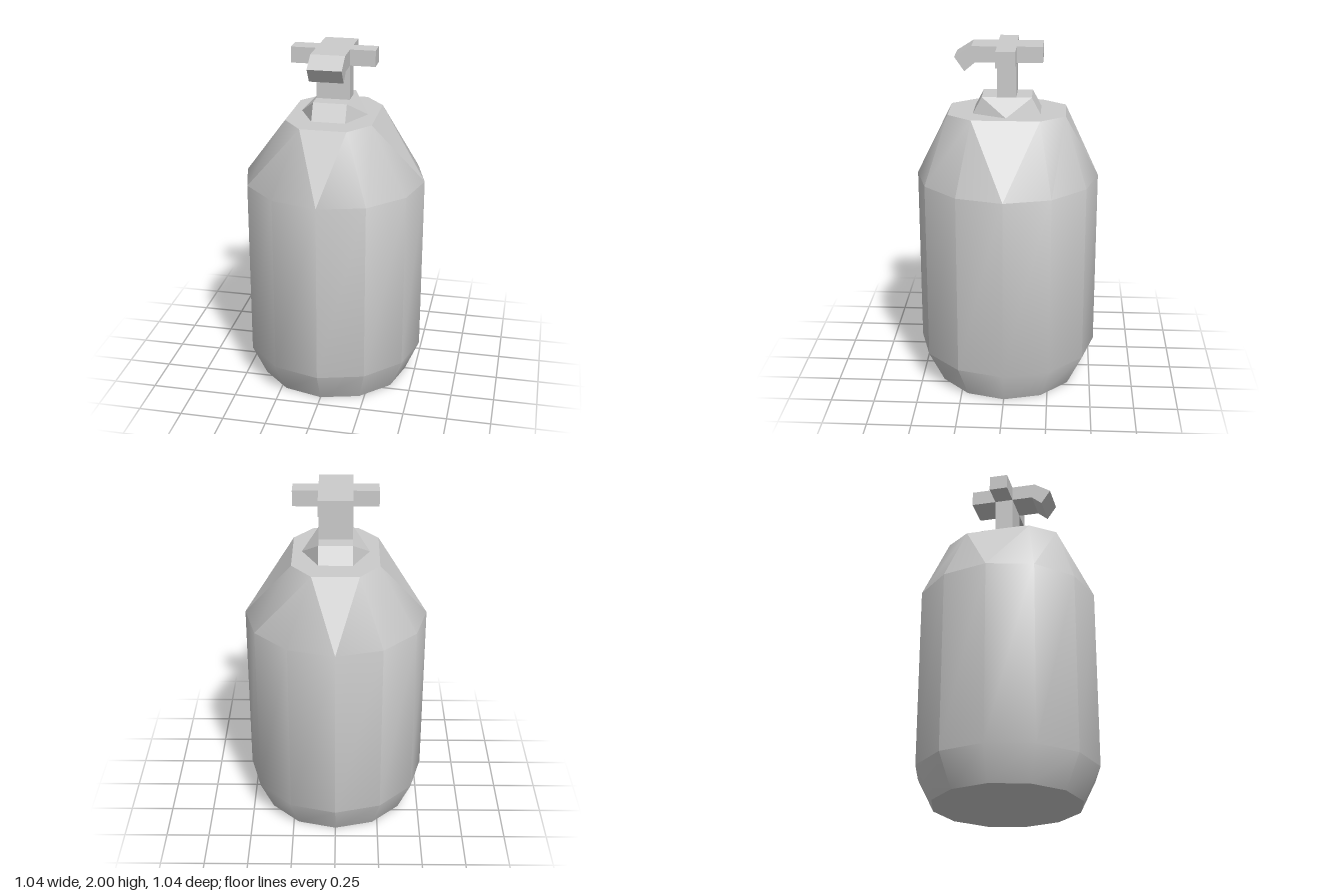
import * as THREE from 'three';
import { toCreasedNormals } from 'three/addons/utils/BufferGeometryUtils.js';

const material = new THREE.MeshStandardMaterial({ color: 0xcccccc });

function addMesh(group, name, geometry) {
  const mesh = new THREE.Mesh(geometry, material);
  mesh.name = name;
  group.add(mesh);
  return mesh;
}

function addBox(group, name, size, position) {
  addMesh(group, name, new THREE.BoxGeometry(...size)).position.set(...position);
}

// Flat-shaded geometry from triangles, dropping collapsed ones
function fromTriangles(triangles) {
  const solid = triangles.filter(([a, b, c]) =>
    a.distanceTo(b) > 1e-5 && b.distanceTo(c) > 1e-5 && c.distanceTo(a) > 1e-5);
  const geometry = new THREE.BufferGeometry().setFromPoints(solid.flat());
  geometry.computeVertexNormals();
  return geometry;
}

// Side faces between rings (lowest first); facets collects the columns chosen by isFacet
function loft(rings, isFacet = () => false) {
  const sides = [], facets = [];
  for (let r = 0; r + 1 < rings.length; r++) {
    const low = rings[r], high = rings[r + 1];
    for (let i = 0; i < low.length; i++) {
      const j = (i + 1) % low.length;
      (isFacet(i) ? facets : sides).push([low[i], high[i], low[j]], [low[j], high[i], high[j]]);
    }
  }
  return { sides, facets };
}

function cap(ring, facesUp) {
  const triangles = [];
  for (let i = 1; i + 1 < ring.length; i++) {
    triangles.push(facesUp ? [ring[0], ring[i + 1], ring[i]] : [ring[0], ring[i], ring[i + 1]]);
  }
  return triangles;
}

// Twelve-sided ring, with the four points on the axes doubled
function bodyRing(y, rx, rz) {
  const ring = [];
  for (let q = 0; q < 4; q++) {
    for (let j = 0; j < 4; j++) {
      const a = (q * 3 + j) * Math.PI / 6;
      ring.push(new THREE.Vector3(rx * Math.cos(a), y, rz * Math.sin(a)));
    }
  }
  return ring;
}

// Eight-cornered shoulder top, matched to the columns of bodyRing
function shoulderRing(y) {
  const ring = [];
  for (let q = 0; q < 4; q++) {
    const sx = q === 0 || q === 3 ? 1 : -1, sz = q < 2 ? 1 : -1;
    for (let j = 0; j < 4; j++) {
      const nearX = (q % 2 === 0) === (j < 2);
      ring.push(new THREE.Vector3(sx * (nearX ? 0.243 : 0.13), y, sz * (nearX ? 0.19 : 0.33)));
    }
  }
  return ring;
}

export function createModel() {
  const model = new THREE.Group();
  model.name = 'pumpBottle';

  // Bottle: smooth body, with flat triangular facets cut into the shoulder
  const rings = [bodyRing(0, 0.44, 0.425), bodyRing(0.19, 0.522, 0.522),
    bodyRing(1.24, 0.522, 0.522), shoulderRing(1.62)];
  const { sides, facets } = loft(rings, i => i % 4 === 3);
  const shell = [...sides, ...cap(rings[0], false), ...cap(rings[3], true)];
  addMesh(model, 'bottleBody', toCreasedNormals(fromTriangles(shell), THREE.MathUtils.degToRad(38)));
  addMesh(model, 'shoulderFacets', fromTriangles(facets));

  // Collar: six-sided foot narrowing to a rectangle
  const foot = [[0.19, 0], [0.095, 0.19], [-0.095, 0.19], [-0.19, 0],
    [-0.19, 0], [-0.095, -0.19], [0.095, -0.19], [0.19, 0]];
  const low = foot.map(([x, z]) => new THREE.Vector3(x, 1.62, z));
  const high = foot.map(([x], i) =>
    new THREE.Vector3(0.095 * Math.sign(x), 1.715, i < 4 ? 0.14 : -0.14));
  addMesh(model, 'collar', fromTriangles([...loft([low, high]).sides, ...cap(high, true)]));

  // Pump stem
  addBox(model, 'stem', [0.19, 0.2, 0.108], [0, 1.812, 0]);

  // Pump head with drooping spout: side profile extruded across x
  const profile = new THREE.Shape([[-0.2, 1.91], [0.175, 1.91], [0.235, 1.86],
    [0.29, 1.94], [0.195, 2], [-0.2, 2]].map(p => new THREE.Vector2(...p)));
  const head = new THREE.ExtrudeGeometry(profile, { depth: 0.19, bevelEnabled: false });
  head.translate(0, 0, -0.095).rotateY(-Math.PI / 2);
  addMesh(model, 'pumpHead', head);

  // Finger grips on both sides of the head
  for (const side of [1, -1]) {
    addBox(model, side > 0 ? 'leftGrip' : 'rightGrip', [0.142, 0.09, 0.108], [side * 0.166, 1.955, 0]);
  }
  return model;
}
